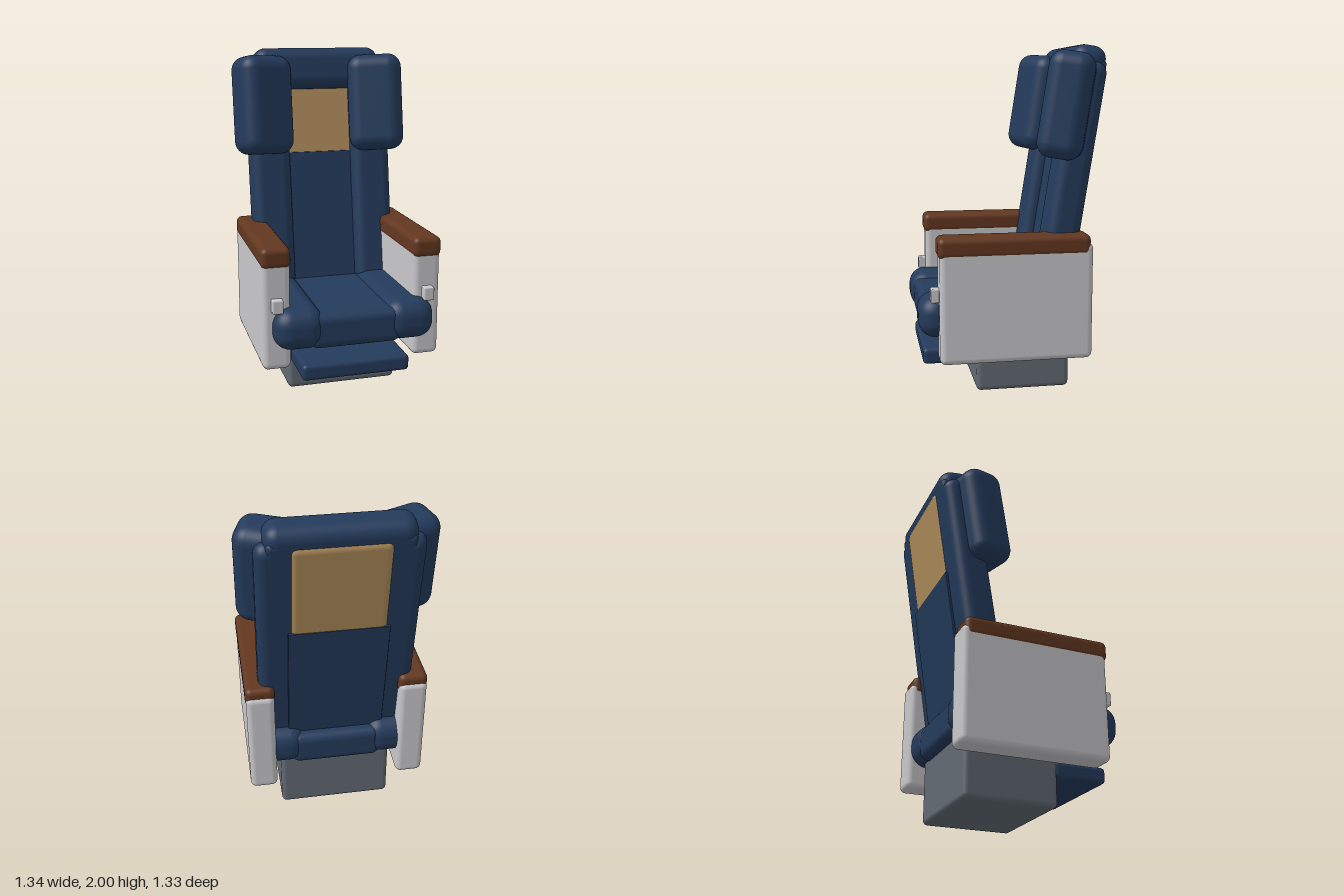
import * as THREE from 'three';
import { RoundedBoxGeometry } from 'three/addons/geometries/RoundedBoxGeometry.js';

const material = (name, color) => {
  const m = new THREE.MeshStandardMaterial({ color });
  m.name = name;
  return m;
};

// Rounded block given by its extents along x, y and z
function block(parent, name, mat, [x0, x1], [y0, y1], [z0, z1], radius) {
  const geo = new RoundedBoxGeometry(x1 - x0, y1 - y0, z1 - z0, 5, radius);
  const mesh = new THREE.Mesh(geo, mat);
  mesh.name = name;
  mesh.position.set((x0 + x1) / 2, (y0 + y1) / 2, (z0 + z1) / 2);
  parent.add(mesh);
  return mesh;
}

// Same extents on the left (+x) or right (-x) side
const onSide = (s, a, b) => (s > 0 ? [a, b] : [-b, -a]);

export function createModel() {
  const navy = material('navy upholstery', 0x243b5c);
  const tan = material('tan panel', 0xb08d5b);
  const wood = material('brown armrest', 0x633720);
  const shell = material('light grey shell', 0xc8c8cc);
  const metal = material('dark grey base', 0x626a73);

  const model = new THREE.Group();
  model.name = 'cabinSeat';
  const seat = new THREE.Group();
  seat.name = 'turnedSeat';
  seat.rotation.y = -Math.PI / 6;
  model.add(seat);

  // Base, footrest and seat cushion
  block(seat, 'base', metal, [-0.335, 0.335], [0, 0.42], [-0.35, 0.2], 0.03);
  block(seat, 'footrest', navy, [-0.32, 0.32], [0.175, 0.27], [0.19, 0.51], 0.025);
  block(seat, 'seatCushion', navy, [-0.27, 0.27], [0.36, 0.565], [-0.41, 0.52], 0.05);

  // Reclined backrest, its rear face on local z = 0
  const back = new THREE.Group();
  back.name = 'backrest';
  back.position.set(0, 0.5, -0.32);
  back.rotation.x = THREE.MathUtils.degToRad(-9);
  seat.add(back);
  block(back, 'backShell', navy, [-0.39, 0.39], [0, 1.43], [0, 0.07], 0.03);
  block(back, 'lowerBackPanel', navy, [-0.283, 0.283], [0, 0.85], [-0.014, 0.128], 0.004);
  block(back, 'upperBackPanel', tan, [-0.28, 0.28], [0.5, 1.417], [-0.011, 0.125], 0.05);
  block(back, 'headPillow', navy, [-0.4, 0.4], [1.245, 1.5], [0, 0.2], 0.075);

  for (const s of [1, -1]) {
    const side = s > 0 ? 'left' : 'right';

    // Side panel with wooden armrest and a small latch in front
    block(seat, side + 'SidePanel', shell, onSide(s, 0.367, 0.53), [0.23, 0.9], [-0.44, 0.43], 0.035);
    block(seat, side + 'Armrest', wood, onSide(s, 0.363, 0.534), [0.83, 0.95], [-0.425, 0.44], 0.035);
    block(seat, side + 'Latch', shell, onSide(s, 0.417, 0.48), [0.58, 0.66], [0.41, 0.475], 0.008);

    // Padded bolsters of the seat and backrest
    block(seat, side + 'SeatBolster', navy, onSide(s, 0.18, 0.475), [0.36, 0.6], [-0.42, 0.54], 0.1);
    block(back, side + 'BackBolster', navy, onSide(s, 0.2, 0.45), [0, 1.41], [0, 0.2], 0.065);

    // Head wing, turned inwards
    const wing = block(back, side + 'HeadWing', navy, onSide(s, 0.195, 0.535), [0.845, 1.445], [0.055, 0.315], 0.085);
    wing.rotation.y = THREE.MathUtils.degToRad(-20 * s);
  }
  return model;
}
